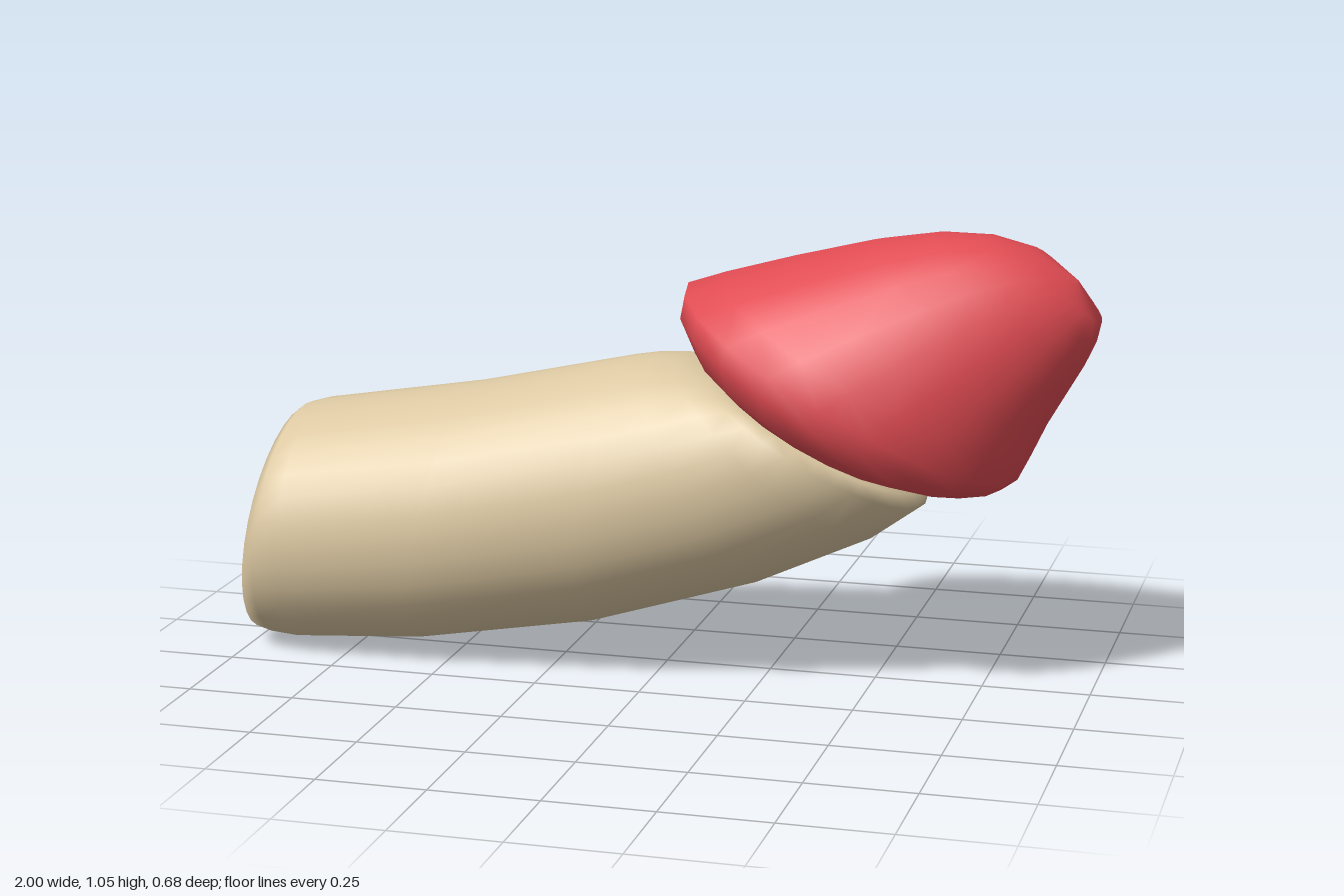
import * as THREE from 'three';

// Lofts elliptical rings. Each ring: [upperX, upperY, lowerX, lowerY, halfWidthZ]
function loft(rings, sides) {
  const pos = [], index = [];
  for (const [ax, ay, bx, by, w] of rings) {
    for (let j = 0; j < sides; j++) {
      const t = (j / sides) * Math.PI * 2, c = Math.cos(t) / 2;
      pos.push((ax + bx) / 2 + (ax - bx) * c, (ay + by) / 2 + (ay - by) * c, w * Math.sin(t));
    }
  }
  for (let i = 0; i < rings.length - 1; i++) {
    for (let j = 0; j < sides; j++) {
      const k = (j + 1) % sides;
      const a = i * sides + j, b = i * sides + k, c = a + sides, d = b + sides;
      index.push(a, b, c, b, d, c);
    }
  }
  const geo = new THREE.BufferGeometry();
  geo.setAttribute('position', new THREE.Float32BufferAttribute(pos, 3));
  geo.setIndex(index);
  geo.computeVertexNormals();
  return geo;
}

export function createModel() {
  const group = new THREE.Group();
  group.name = 'mushroom';

  const stemCream = new THREE.MeshStandardMaterial({ color: 0xdcc8a2, side: THREE.DoubleSide });
  stemCream.name = 'stemCream';
  const capRed = new THREE.MeshStandardMaterial({ color: 0xe04b52 });
  capRed.name = 'capRed';

  // Hollow bent stem, open at its base and closed beneath the cap
  const stem = new THREE.Mesh(loft([
    [-0.905, 0.535, -0.98, 0.045, 0.245],
    [-0.91, 0.56, -1.0, 0.02, 0.262],
    [-0.895, 0.572, -0.96, 0.01, 0.277],
    [-0.85, 0.585, -0.89, 0.005, 0.29],
    [-0.46, 0.65, -0.6, 0.025, 0.3],
    [-0.09, 0.733, -0.17, 0.1, 0.3],
    [-0.03, 0.743, 0.23, 0.225, 0.29],
    [0.03, 0.745, 0.5, 0.35, 0.28],
    [0.08, 0.735, 0.61, 0.43, 0.268],
    [0.12, 0.725, 0.615, 0.465, 0.25],
    [0.18, 0.71, 0.56, 0.51, 0.19],
    [0.37, 0.61, 0.37, 0.61, 0],
  ], 32), stemCream);
  stem.name = 'stem';

  // Tilted cap, from the underside over the rim to the rounded tip
  const cap = new THREE.Mesh(loft([
    [0.36, 0.61, 0.36, 0.61, 0],
    [0.12, 0.735, 0.6, 0.477, 0.255],
    [0.075, 0.78, 0.72, 0.465, 0.31],
    [0.04, 0.86, 0.785, 0.475, 0.337],
    [0.05, 0.915, 0.82, 0.5, 0.34],
    [0.14, 0.945, 0.85, 0.56, 0.328],
    [0.3, 0.99, 0.885, 0.635, 0.288],
    [0.48, 1.035, 0.925, 0.705, 0.23],
    [0.62, 1.058, 0.965, 0.775, 0.178],
    [0.74, 1.058, 0.99, 0.83, 0.13],
    [0.84, 1.035, 1.0, 0.875, 0.085],
    [0.945, 0.965, 0.945, 0.965, 0],
  ], 20), capRed);
  cap.name = 'cap';

  group.add(stem, cap);
  return group;
}
